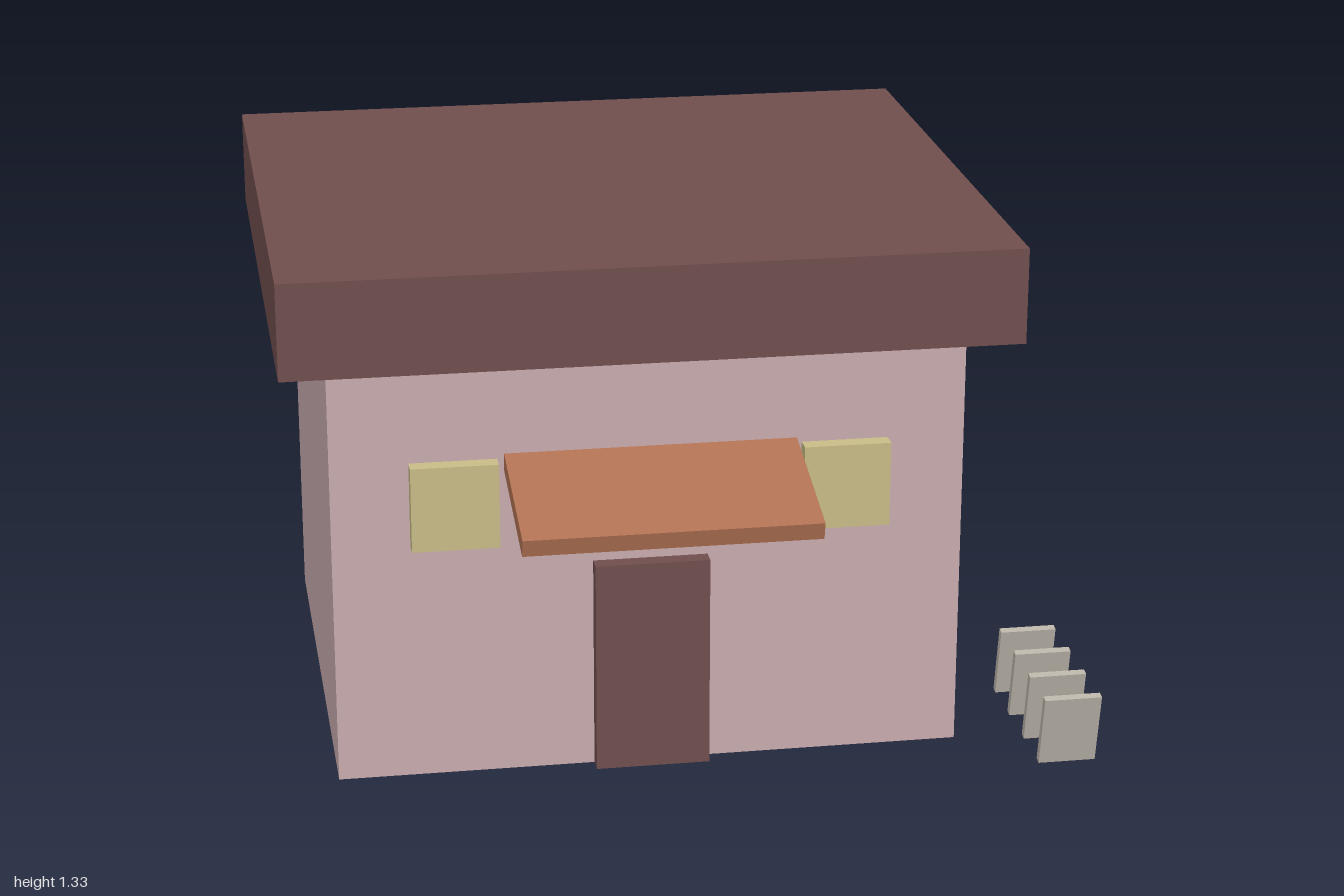
import * as THREE from 'three';

const paint = (name, color) => {
  const m = new THREE.MeshStandardMaterial({ color });
  m.name = name;
  return m;
};

export function createModel() {
  const wall = paint('dusty pink', 0xc8abae);
  const dark = paint('dark brown', 0x6f4e4d);
  const clay = paint('terracotta', 0xb07152);
  const glass = paint('pale yellow', 0xc7bb86);
  const stone = paint('warm grey', 0xbab3a8);

  const model = new THREE.Group();
  model.name = 'shop';

  // Box given by size and centre, optionally tilted about x
  const box = (name, material, size, centre, tilt = 0) => {
    const mesh = new THREE.Mesh(new THREE.BoxGeometry(...size), material);
    mesh.name = name;
    mesh.position.set(...centre);
    mesh.rotation.x = tilt;
    model.add(mesh);
  };

  const midX = -0.1; // centre line of the building

  // Building and overhanging flat roof
  box('walls', wall, [1.565, 1.09, 1.32], [midX, 0.545, -0.12]);
  box('roof', dark, [1.8, 0.24, 1.565], [midX, 1.21, -0.123]);

  // Door and windows on the front wall
  box('door', dark, [0.285, 0.545, 0.05], [midX, 0.2725, 0.557]);
  for (const side of [-1, 1]) {
    box(side < 0 ? 'rightWindow' : 'leftWindow', glass,
      [0.215, 0.215, 0.05], [midX + side * 0.483, 0.718, 0.557]);
  }

  // Awning sloping down over the door
  box('awning', clay, [0.72, 0.045, 0.362], [midX, 0.777, 0.726], 0.25);

  // Row of leaning slabs beside the building
  for (let i = 0; i < 4; i++) {
    box(`slab${i + 1}`, stone, [0.145, 0.19, 0.02], [0.927, 0.098, 0.304 + i * 0.1445], 0.2);
  }

  return model;
}
